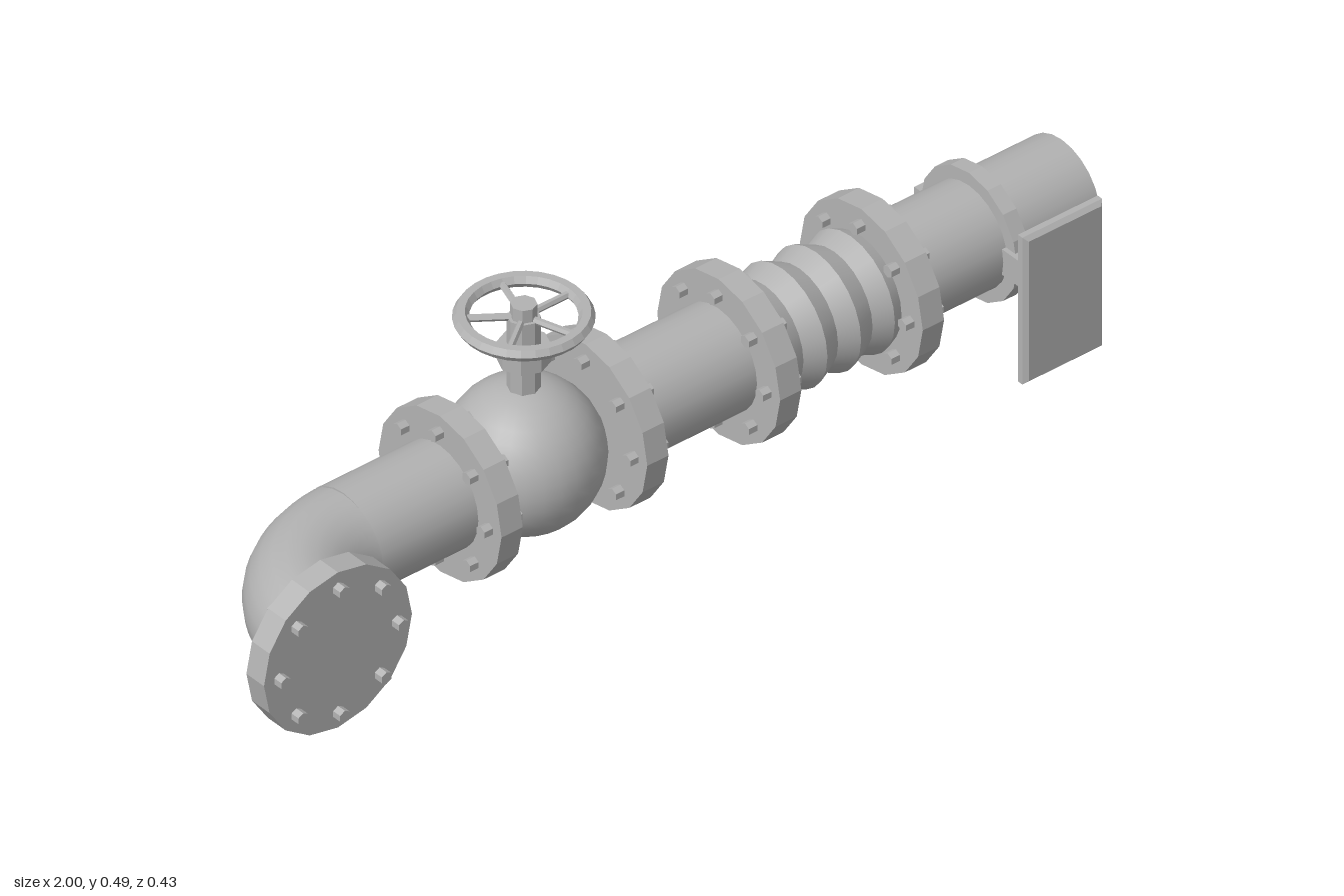
import * as THREE from 'three';

const AXIS_Y = 0.17, AXIS_Z = -0.044, PIPE_R = 0.104;

export function createModel() {
  const model = new THREE.Group();
  model.name = 'valvePipeline';
  const steel = new THREE.MeshStandardMaterial({ color: 0xb2b2b2 });
  steel.name = 'greySteel';

  const add = (parent, name, geometry, x = 0, y = 0, z = 0) => {
    const mesh = new THREE.Mesh(geometry, steel);
    mesh.name = name;
    mesh.position.set(x, y, z);
    parent.add(mesh);
    return mesh;
  };
  // Faceted copy of a geometry, for the low-sided fittings
  const faceted = (geometry) => {
    const g = geometry.toNonIndexed();
    g.computeVertexNormals();
    return g;
  };
  const prism = (r, h, sides) => faceted(new THREE.CylinderGeometry(r, r, h, sides));

  // Everything on the main run lies along x
  const run = new THREE.Group();
  run.name = 'mainRun';
  run.position.set(0, AXIS_Y, AXIS_Z);
  model.add(run);

  // Straight pipes
  for (const [x0, x1] of [[-0.622, -0.4], [-0.05, 0.25], [0.57, 1]]) {
    const g = new THREE.CylinderGeometry(PIPE_R, PIPE_R, x1 - x0, 24).rotateZ(Math.PI / 2);
    add(run, 'pipe', g, (x0 + x1) / 2);
  }

  // Bolted flange, built along z
  const boltGeometry = prism(0.0125, 0.086, 6).rotateX(Math.PI / 2);
  const flangeGeometry = prism(0.167, 0.048, 16).rotateX(Math.PI / 2);
  const makeFlange = () => {
    const flange = new THREE.Group();
    flange.name = 'flange';
    add(flange, 'flangeDisc', flangeGeometry);
    for (let i = 0; i < 8; i++) {
      const a = i * Math.PI / 4;
      add(flange, 'bolt', boltGeometry, 0.133 * Math.cos(a), 0.133 * Math.sin(a), 0);
    }
    return flange;
  };
  for (const x of [-0.38, -0.051, 0.249, 0.571]) {
    const flange = makeFlange();
    flange.position.x = x;
    flange.rotation.y = Math.PI / 2;
    run.add(flange);
  }
  const endFlange = makeFlange();
  endFlange.name = 'endFlange';
  endFlange.position.set(-0.833, AXIS_Y, 0.171);
  model.add(endFlange);

  // Elbow, stopping just short of the pipe so a seam shows on the outer side
  const bend = 0.22, sweep = THREE.MathUtils.degToRad(87);
  const elbow = new THREE.TorusGeometry(bend, PIPE_R, 24, 16, sweep);
  elbow.rotateX(Math.PI / 2).rotateY(Math.PI);
  // arc now runs from -x towards -z
  add(model, 'elbow', elbow, -0.833 + bend, AXIS_Y, AXIS_Z + bend);

  // Valve body
  const valve = new THREE.Group();
  valve.name = 'valve';
  valve.position.set(-0.215, 0, AXIS_Z);
  model.add(valve);
  add(valve, 'valveBody', new THREE.SphereGeometry(0.147, 28, 18), 0, AXIS_Y, 0);
  add(valve, 'stem', prism(0.03, 0.18, 8), 0, 0.375, 0);
  add(valve, 'stemNut', prism(0.048, 0.036, 8), 0, 0.388, 0);
  add(valve, 'stemTip', prism(0.024, 0.05, 8), 0, 0.467, 0);

  // Handwheel with five spokes
  const rim = faceted(new THREE.TorusGeometry(0.11, 0.015, 6, 30).scale(1, 1, 0.9));
  add(valve, 'handwheelRim', rim.rotateX(Math.PI / 2), 0, 0.464, 0);
  const spokeGeometry = prism(0.007, 0.11, 6).rotateZ(Math.PI / 2).translate(0.055, 0, 0);
  for (let i = 0; i < 5; i++) {
    add(valve, 'handwheelSpoke', spokeGeometry, 0, 0.464, 0).rotation.y = i * Math.PI * 2 / 5;
  }

  // Bellows: alternating ridges and valleys as short cones
  const bellows = [
    [0.265, 0.106], [0.292, 0.119], [0.33, 0.104], [0.37, 0.121], [0.408, 0.104],
    [0.446, 0.121], [0.486, 0.104], [0.524, 0.119], [0.555, 0.106],
  ];
  for (let i = 0; i < bellows.length - 1; i++) {
    const [x0, r0] = bellows[i], [x1, r1] = bellows[i + 1];
    const g = new THREE.CylinderGeometry(r1, r0, x1 - x0, 24, 1, true).rotateZ(-Math.PI / 2);
    add(run, 'bellowsFold', g, (x0 + x1) / 2);
  }

  // Pipe clamp, its closing tab and the arm to the wall plate
  const ring = new THREE.Shape().absarc(0, 0, 0.131, 0, Math.PI * 2);
  ring.holes.push(new THREE.Path().absarc(0, 0, 0.102, 0, Math.PI * 2, true));
  const clamp = new THREE.ExtrudeGeometry(ring, { depth: 0.03, bevelEnabled: false, curveSegments: 8 });
  add(run, 'clampRing', clamp.rotateY(Math.PI / 2), 0.79);
  add(run, 'clampTab', new THREE.BoxGeometry(0.024, 0.027, 0.045), 0.805, 0, -0.13);
  add(run, 'clampArm', new THREE.BoxGeometry(0.05, 0.055, 0.13), 0.806, 0, 0.155);

  // Wall plate with chamfered edges
  const w = 0.082, h = 0.15, bevel = 0.008;
  const outline = new THREE.Shape([[-w, -h], [w, -h], [w, h], [-w, h]].map((p) => new THREE.Vector2(...p)));
  const plate = new THREE.ExtrudeGeometry(outline, {
    depth: 0.012, bevelSize: bevel, bevelThickness: bevel, bevelSegments: 1,
  });
  add(model, 'wallPlate', plate, 0.806, AXIS_Y, 0.178);
  for (const side of [-1, 1]) {
    const g = prism(0.014, 0.02, 6).rotateX(Math.PI / 2);
    add(model, 'plateBolt', g, 0.806, AXIS_Y + side * 0.1, 0.168);
  }
  return model;
}
